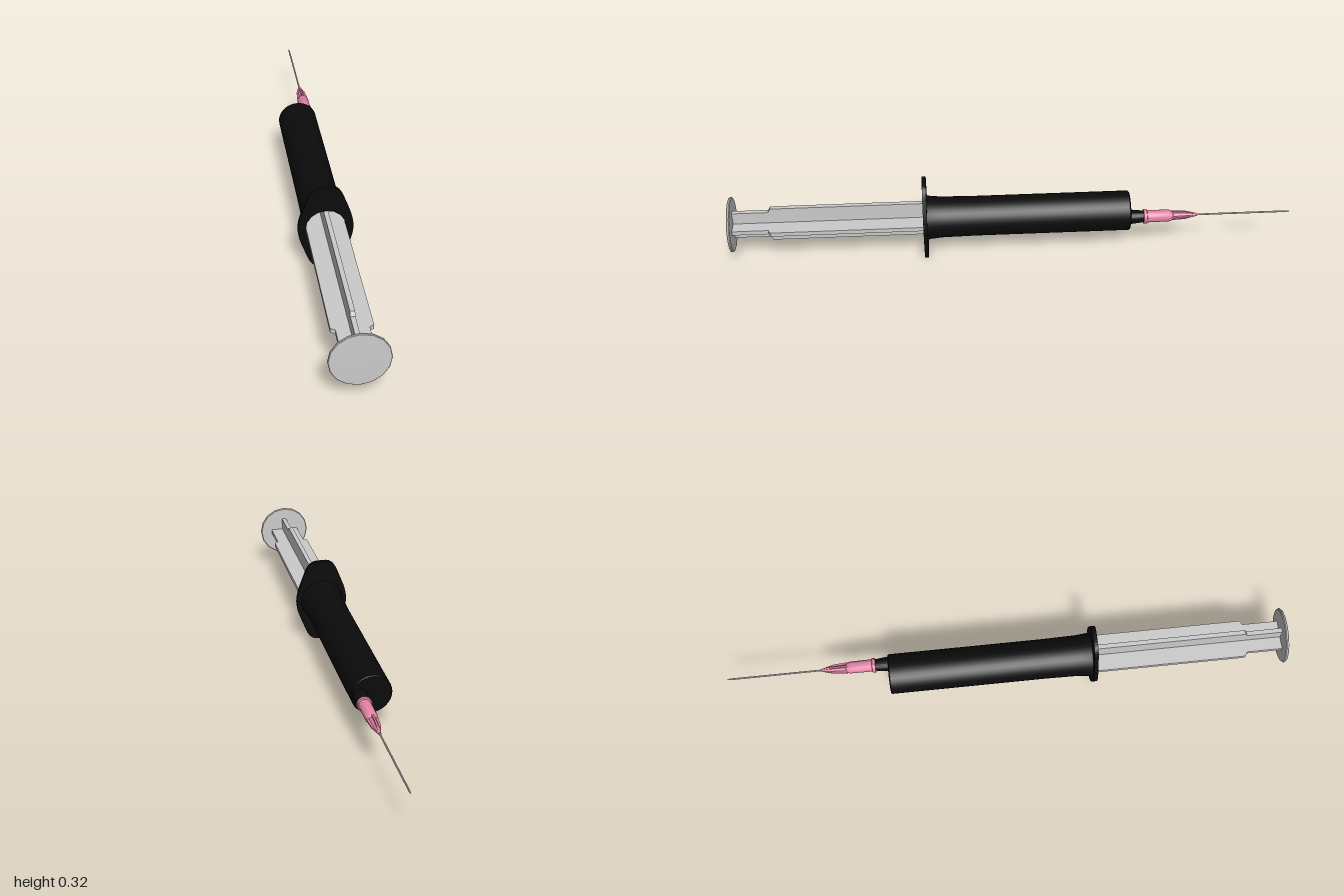
import * as THREE from 'three';
import { toCreasedNormals } from 'three/addons/utils/BufferGeometryUtils.js';

const AXIS_Y = 0.16;

export function createModel() {
  const root = new THREE.Group();
  const black = new THREE.MeshStandardMaterial({ color: 0x0b0b0b, side: THREE.DoubleSide });
  const grey = new THREE.MeshStandardMaterial({ color: 0xcccccc });
  const pink = new THREE.MeshStandardMaterial({ color: 0xe283a5 });

  const add = (name, geometry, material, x = 0, z = 0) => {
    const mesh = new THREE.Mesh(geometry, material);
    mesh.name = name;
    mesh.position.set(x, AXIS_Y, z);
    root.add(mesh);
    return mesh;
  };
  // Revolve [radius, z] points, listed from low z to high z, about the z axis
  const turned = (points, sides) => {
    const g = new THREE.LatheGeometry(points.map(([r, z]) => new THREE.Vector2(r, z)), sides);
    g.rotateX(Math.PI / 2);
    return toCreasedNormals(g, 0.6);
  };

  // Hollow barrel: closed at the needle end, flared and open at the flange
  add('barrel', turned([
    [0, -0.422], [0.068, -0.422], [0.071, -0.418], [0.071, 0.13], [0.073, 0.25],
    [0.077, 0.29], [0.08, 0.303], [0.069, 0.312], [0.069, -0.4], [0, -0.4],
  ], 32), black);

  // Finger flange with rounded ends and a hole for the plunger
  const outline = new THREE.Shape();
  outline.moveTo(0.095, 0);
  outline.bezierCurveTo(0.094, 0.04, 0.08, 0.068, 0.063, 0.114);
  outline.bezierCurveTo(0.05, 0.15, 0.035, 0.16, 0.012, 0.16);
  outline.lineTo(-0.012, 0.16);
  outline.bezierCurveTo(-0.035, 0.16, -0.05, 0.15, -0.063, 0.114);
  outline.bezierCurveTo(-0.08, 0.068, -0.094, 0.04, -0.095, 0);
  outline.bezierCurveTo(-0.094, -0.04, -0.08, -0.068, -0.063, -0.114);
  outline.bezierCurveTo(-0.05, -0.15, -0.035, -0.16, -0.012, -0.16);
  outline.lineTo(0.012, -0.16);
  outline.bezierCurveTo(0.035, -0.16, 0.05, -0.15, 0.063, -0.114);
  outline.bezierCurveTo(0.08, -0.068, 0.094, -0.04, 0.095, 0);
  outline.holes.push(new THREE.Path().absarc(0, 0, 0.069, 0, Math.PI * 2, true));
  const flange = new THREE.ExtrudeGeometry(outline, { depth: 0.014, bevelEnabled: false, curveSegments: 8 });
  add('fingerFlange', toCreasedNormals(flange, 0.6), black, 0, 0.3);

  // Cross-shaped plunger rod, stepped narrower towards the thumb rest
  const rib = new THREE.Shape([
    [0.18, -0.068], [0.85, -0.068], [0.858, -0.053], [0.988, -0.053],
    [0.988, 0.053], [0.858, 0.053], [0.85, 0.068], [0.18, 0.068],
  ].map(([z, w]) => new THREE.Vector2(z, w)));
  const ribGeometry = new THREE.ExtrudeGeometry(rib, { depth: 0.016, bevelEnabled: false });
  ribGeometry.translate(0, 0, -0.008).rotateY(-Math.PI / 2);
  add('plungerRibVertical', ribGeometry, grey);
  add('plungerRibHorizontal', ribGeometry.clone().rotateZ(Math.PI / 2), grey);

  // Stopper inside the barrel
  add('stopper', turned([[0, 0.1], [0.068, 0.12], [0.068, 0.18], [0, 0.18]], 32), black);

  // Sixteen-sided thumb rest
  add('thumbRest', turned([
    [0, 0.984], [0.095, 0.986], [0.098, 0.989], [0.098, 0.994], [0.096, 0.996], [0, 0.998],
  ], 16), grey);

  // Off-centre nozzle
  const X = 0.04;
  add('nozzle', turned([[0, -0.48], [0.019, -0.48], [0.023, -0.45], [0.026, -0.42], [0, -0.42]], 20), black, X);

  // Needle hub: collar, sleeve, slim core
  add('needleHub', turned([
    [0, -0.662], [0.005, -0.662], [0.009, -0.64], [0.012, -0.575], [0.018, -0.57], [0.021, -0.56],
    [0.022, -0.482], [0.026, -0.48], [0.026, -0.469], [0, -0.469],
  ], 20), pink, X);

  // Four tapering fins around the hub core
  const fin = new THREE.Shape([
    [-0.66, 0], [-0.655, 0.006], [-0.62, 0.016], [-0.57, 0.02], [-0.57, 0],
  ].map(([z, r]) => new THREE.Vector2(z, r)));
  const finGeometry = new THREE.ExtrudeGeometry(fin, { depth: 0.006, bevelEnabled: false });
  finGeometry.translate(0, 0, -0.003).rotateY(-Math.PI / 2);
  for (let i = 0; i < 4; i++) {
    add('hubFin', finGeometry, pink, X).rotation.z = i * Math.PI / 2;
  }

  // Needle with a fine point
  add('needle', turned([[0, -1], [0.003, -0.985], [0.003, -0.65], [0, -0.65]], 10), grey, X);

  return root;
}
